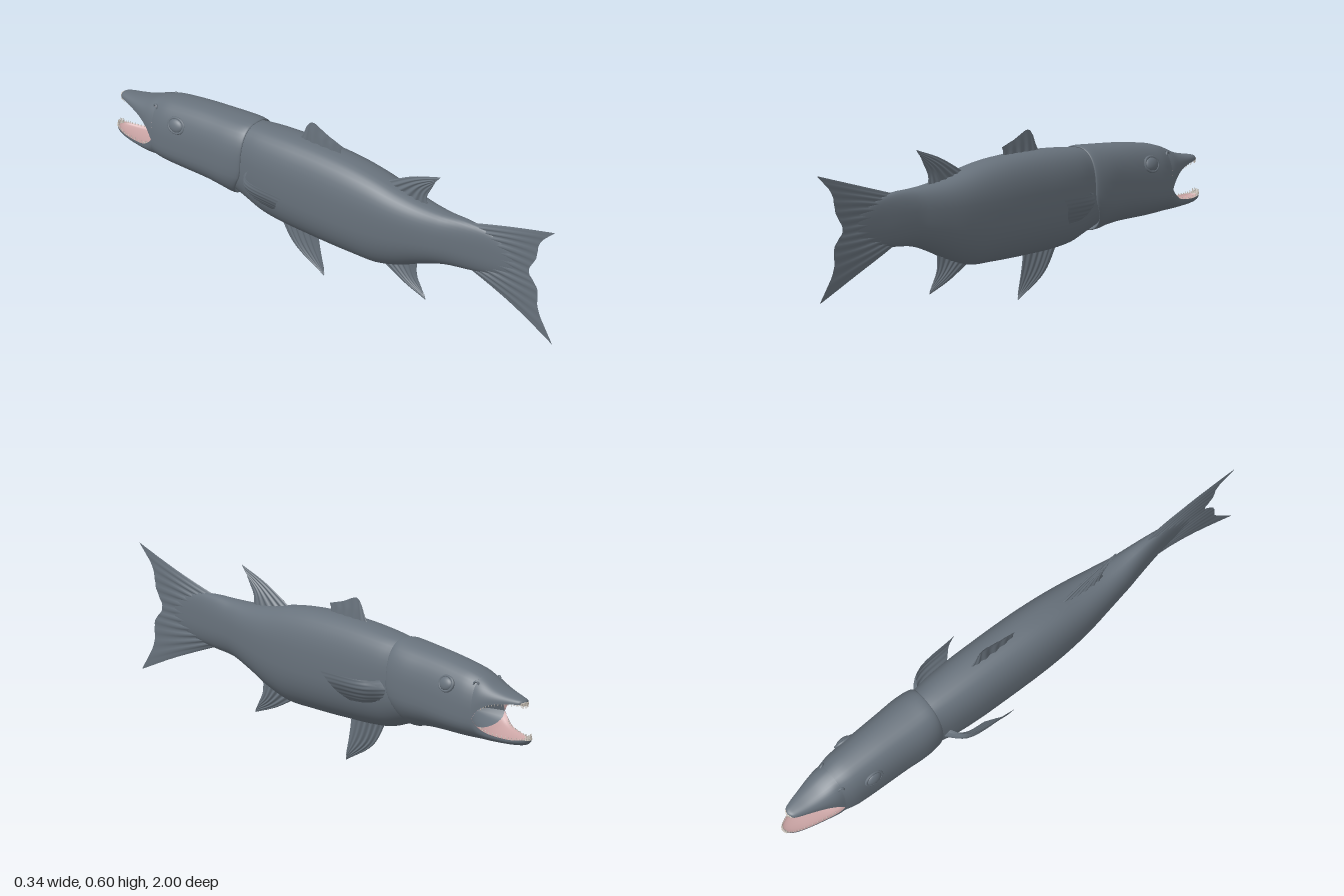
import * as THREE from 'three';

const mat = (name, color) =>
  Object.assign(new THREE.MeshStandardMaterial({ color, side: THREE.DoubleSide }), { name });

// slight sideways sway of the tail
const sway = z => (z > 0.5 ? 0.012 * Math.sin((z - 0.5) * Math.PI * 2) : 0);

// smooth surface through rows of points; closed joins each row into a ring
function sheet(rows, closed) {
  const n = rows[0].length, pos = [], idx = [];
  rows.forEach(r => r.forEach(p => pos.push(p[0] + sway(p[2]), p[1], p[2])));
  for (let i = 0; i < rows.length - 1; i++)
    for (let j = 0; j < (closed ? n : n - 1); j++) {
      const a = i * n + j, b = i * n + (j + 1) % n;
      idx.push(a, b, a + n, b, b + n, a + n);
    }
  const g = new THREE.BufferGeometry();
  g.setAttribute('position', new THREE.Float32BufferAttribute(pos, 3));
  g.setIndex(idx);
  g.computeVertexNormals();
  return g;
}

// resample a list of cross-section values along a spline
function smooth(rows, count) {
  const curves = rows[0].map((_, k) => new THREE.SplineCurve(rows.map((r, i) => new THREE.Vector2(i, r[k]))));
  return Array.from({ length: count + 1 }, (_, i) => curves.map(c => c.getPoint(i / count).y));
}

// arc of a cross-section: boxier above the middle line, rounder below
function arc([z, w, top, mid, bot], from, to, n) {
  return Array.from({ length: n + 1 }, (_, i) => {
    const a = from + (to - from) * i / n, c = Math.cos(a), s = Math.sin(a);
    const e = 0.8 + 0.2 * Math.max(0, -s);
    return [
      w * Math.sign(c) * Math.abs(c) ** e,
      mid + (s > 0 ? top - mid : mid - bot) * Math.sign(s) * Math.abs(s) ** e,
      z,
    ];
  });
}
const ring = s => arc(s, 0, Math.PI * 2, 40).slice(0, 40);

// ribbed fin: base, middle and tip polylines, thickened along a direction
function fin(lines, thick, dir = [1, 0, 0], rays = 8) {
  const N = 48, M = 12;
  const curves = lines.map(l => new THREE.CatmullRomCurve3(l.map(p => new THREE.Vector3(...p))));
  const d = new THREE.Vector3(...dir).normalize();
  const cols = Array.from({ length: N + 1 }, (_, i) =>
    new THREE.CatmullRomCurve3(curves.map(c => c.getPoint(i / N))));
  const rows = [];
  for (let v = 0; v <= M; v++) {
    const side = s => cols.map((c, i) => {
      const u = i / N;
      const t = thick * (1 - 0.8 * v / M) * Math.sqrt(Math.max(0, Math.sin(Math.PI * u)));
      const rib = 0.75 + 0.25 * Math.cos(u * rays * Math.PI * 2);
      return c.getPoint(v / M).addScaledVector(d, s * t * rib).toArray();
    });
    rows.push([...side(1), ...side(-1).reverse()]);
  }
  return sheet(rows, true);
}
const flat = pts => pts.map(([z, y]) => [0, y, z]);

export function createModel() {
  const skin = mat('slate skin', 0x68727c);
  const pink = mat('mouth pink', 0xcaa4a4);
  const ivory = mat('tooth ivory', 0xd6cec4);
  const root = new THREE.Group();
  root.name = 'fish';
  const add = (name, geo, m = skin, parent = root) => {
    const mesh = new THREE.Mesh(geo, m);
    mesh.name = name;
    parent.add(mesh);
    return mesh;
  };

  // trunk: z, half width, top, middle, bottom
  const body = smooth([
    [0.8, 0.006, 0.42, 0.37, 0.32], [0.7, 0.018, 0.456, 0.37, 0.29], [0.6, 0.035, 0.468, 0.37, 0.274],
    [0.5, 0.053, 0.467, 0.37, 0.262], [0.4, 0.071, 0.472, 0.365, 0.228], [0.3, 0.087, 0.487, 0.36, 0.186],
    [0.2, 0.097, 0.507, 0.355, 0.16], [0.1, 0.103, 0.52, 0.35, 0.158], [0, 0.105, 0.525, 0.35, 0.158],
    [-0.1, 0.105, 0.525, 0.35, 0.16], [-0.2, 0.104, 0.521, 0.35, 0.163], [-0.3, 0.098, 0.513, 0.35, 0.173],
    [-0.38, 0.086, 0.503, 0.35, 0.198], [-0.5, 0.075, 0.48, 0.35, 0.24],
  ], 52);
  add('body', sheet(body.map(ring), true));

  // head with gill covers overlapping the trunk
  const skull = smooth([
    [-0.4, 0.08, 0.49, 0.35, 0.23], [-0.365, 0.094, 0.506, 0.35, 0.207], [-0.385, 0.103, 0.51, 0.35, 0.205],
    [-0.44, 0.107, 0.506, 0.347, 0.213], [-0.52, 0.103, 0.5, 0.34, 0.219], [-0.6, 0.1, 0.493, 0.33, 0.221],
    [-0.68, 0.097, 0.483, 0.32, 0.222], [-0.74, 0.093, 0.473, 0.315, 0.224], [-0.785, 0.082, 0.46, 0.312, 0.226],
  ], 32);
  add('head', sheet(skull.map(s => ring(s).map(([x, y, z]) => {
    const fade = THREE.MathUtils.clamp((z + 0.6) / 0.22, 0, 1);
    const low = THREE.MathUtils.clamp((0.33 - y) / 0.12, 0, 1);
    return [x, y, z - 0.065 * fade * low];
  })), true));

  // jaws: z, half width, outer edge, lip height
  const jaws = {
    upper: smooth([
      [-0.785, 0.082, 0.46, 0.312], [-0.81, 0.076, 0.45, 0.345], [-0.85, 0.064, 0.432, 0.37],
      [-0.9, 0.048, 0.418, 0.382], [-0.95, 0.032, 0.409, 0.388], [-0.972, 0.021, 0.404, 0.39],
      [-0.982, 0, 0.396, 0.394],
    ], 24),
    lower: smooth([
      [-0.785, 0.082, 0.226, 0.312], [-0.81, 0.076, 0.228, 0.287], [-0.85, 0.064, 0.23, 0.268],
      [-0.92, 0.047, 0.234, 0.26], [-0.965, 0.033, 0.239, 0.261], [-0.99, 0.019, 0.247, 0.265],
      [-1, 0, 0.262, 0.266],
    ], 24),
  };
  for (const [name, rows] of Object.entries(jaws)) {
    const up = name === 'upper', sign = up ? 1 : -1;
    add(name + 'Jaw', sheet(rows.map(([z, w, out, lip]) =>
      arc([z, w, out, lip, out], 0, sign * Math.PI, 24))));

    // hollow lining from lip to lip, closing into the throat
    const hollow = ([z, w, out, lip]) => Array.from({ length: 17 }, (_, i) => {
      const t = i / 8 - 1;
      return [t * w * 0.99, lip + 0.5 * (out - lip) * Math.sqrt(1 - t * t), z];
    });
    add(name + 'MouthLining', sheet(rows.map(hollow)), pink);
    add(name + 'Throat', sheet([rows[0], [-0.74, 0.06, up ? 0.4 : 0.25, 0.315], [-0.69, 0.001, 0.32, 0.32]].map(hollow)));

    // teeth along both lips, with longer fangs in front
    const teeth = new THREE.Group();
    teeth.name = name + 'Teeth';
    root.add(teeth);
    for (const s of [-1, 1])
      for (let i = 5; i < 24; i++) {
        const [z, w, , lip] = rows[i], h = i > 20 ? 0.022 : 0.011;
        const tooth = add('tooth', new THREE.ConeGeometry(h * 0.2, h, 6), ivory, teeth);
        tooth.position.set(s * w * 0.9, lip - sign * h * 0.35, z);
        if (up) tooth.rotation.x = Math.PI;
      }
  }

  // eyes and nostrils
  for (const s of [-1, 1]) {
    const side = s > 0 ? 'left' : 'right';
    const eye = new THREE.Group();
    eye.name = side + 'Eye';
    eye.position.set(s * 0.087, 0.417, -0.665);
    eye.rotation.set(0, s * Math.PI / 2, 0);
    eye.rotateX(-0.3);
    eye.scale.set(1.2, 0.95, 1);
    add('eyeball', new THREE.SphereGeometry(0.026, 24, 16), skin, eye).scale.z = 0.5;
    add('eyeRim', new THREE.TorusGeometry(0.028, 0.005, 8, 32), skin, eye);
    root.add(eye);
    const nostril = add(side + 'Nostril', new THREE.TorusGeometry(0.01, 0.004, 8, 20));
    nostril.position.set(s * 0.055, 0.432, -0.785);
    nostril.rotation.y = s * 1.9;

    // pectoral fin sweeping out and back
    const pectoral = [
      [[0.08, 0.36, -0.34], [0.08, 0.335, -0.36], [0.08, 0.305, -0.35], [0.08, 0.28, -0.32]],
      [[0.147, 0.364, -0.29], [0.142, 0.335, -0.3], [0.125, 0.3, -0.29], [0.108, 0.272, -0.27]],
      [[0.172, 0.368, -0.11], [0.163, 0.335, -0.14], [0.14, 0.298, -0.165], [0.115, 0.268, -0.2]],
    ].map(l => l.map(([x, y, z]) => [s * x, y, z]));
    add(side + 'PectoralFin', fin(pectoral, 0.008, [s * 0.8, -0.5, 0.3], 6));
  }

  // fins on the centre line, points as z, y
  add('frontDorsalFin', fin([
    flat([[0.02, 0.51], [-0.05, 0.51], [-0.12, 0.51], [-0.18, 0.505]]),
    flat([[0.018, 0.535], [-0.05, 0.55], [-0.12, 0.56], [-0.155, 0.54]]),
    flat([[0.025, 0.553], [-0.04, 0.572], [-0.115, 0.598], [-0.14, 0.575]]),
  ], 0.011, undefined, 5));
  add('rearDorsalFin', fin([
    flat([[0.22, 0.49], [0.28, 0.475], [0.36, 0.46], [0.42, 0.455]]),
    flat([[0.35, 0.557], [0.37, 0.54], [0.39, 0.52], [0.412, 0.495]]),
    flat([[0.475, 0.6], [0.465, 0.587], [0.452, 0.573], [0.44, 0.55]]),
  ], 0.014, undefined, 6));
  add('analFin', fin([
    flat([[0.18, 0.18], [0.24, 0.2], [0.3, 0.22], [0.37, 0.25]]),
    flat([[0.3, 0.118], [0.325, 0.13], [0.345, 0.145], [0.367, 0.165]]),
    flat([[0.405, 0.08], [0.402, 0.09], [0.397, 0.1], [0.39, 0.115]]),
  ], 0.014, undefined, 6));
  add('pelvicFin', fin([
    flat([[-0.27, 0.19], [-0.22, 0.2], [-0.16, 0.2], [-0.09, 0.19]]),
    flat([[-0.2, 0.085], [-0.165, 0.09], [-0.12, 0.1], [-0.078, 0.11]]),
    flat([[-0.06, 0.002], [-0.061, 0.008], [-0.062, 0.016], [-0.06, 0.028]]),
  ], 0.017, undefined, 6));
  add('tailFin', fin([
    flat([[0.6, 0.462], [0.6, 0.42], [0.6, 0.37], [0.6, 0.32], [0.6, 0.278]]),
    flat([[0.8, 0.517], [0.77, 0.45], [0.75, 0.37], [0.77, 0.29], [0.8, 0.2]]),
    flat([[1, 0.573], [0.925, 0.5], [0.905, 0.43], [0.87, 0.365], [0.91, 0.31], [0.915, 0.23], [0.985, 0.118]]),
  ], 0.02, undefined, 12));

  return root;
}
